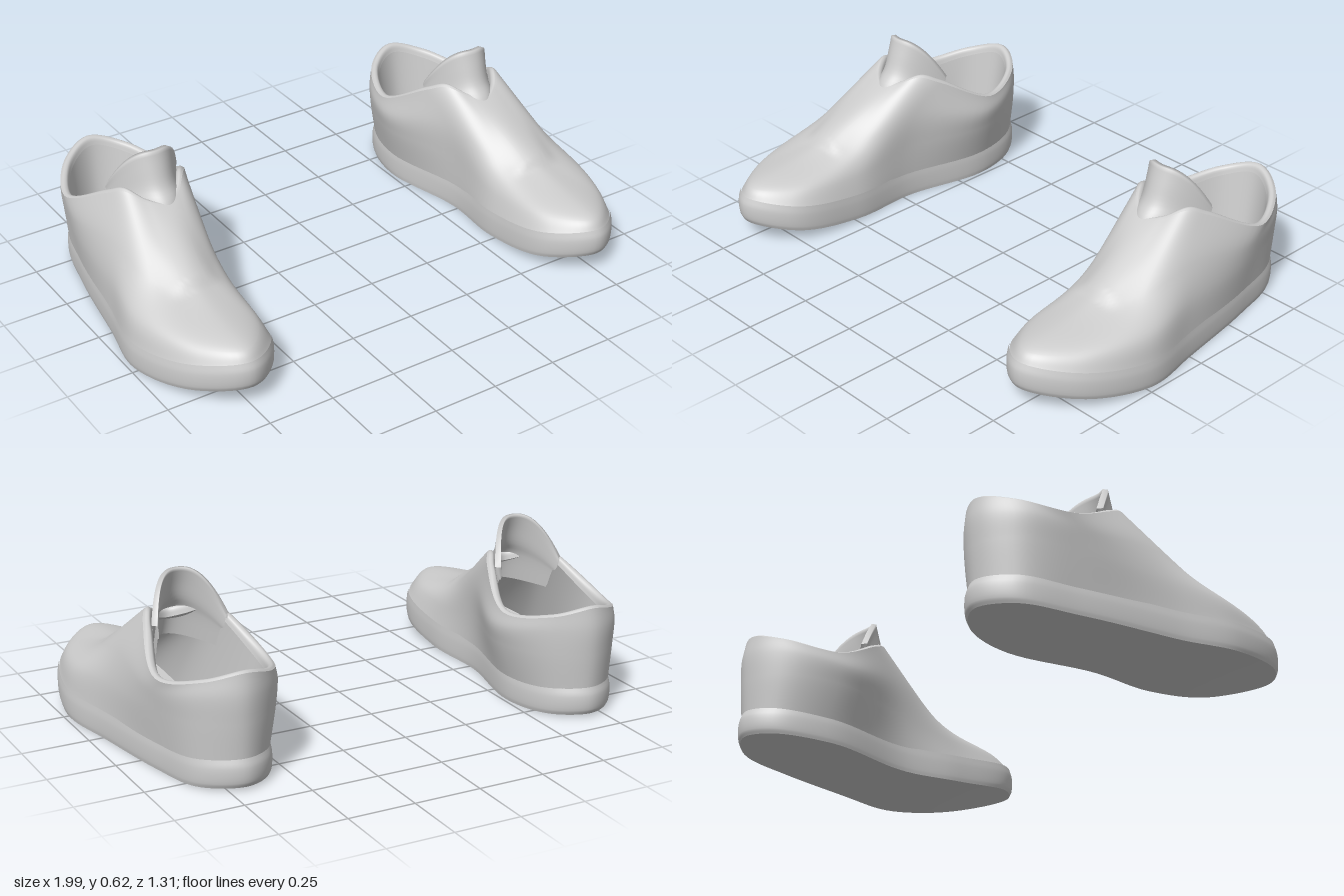
import * as THREE from 'three';

const SEG = 96; // points around each ring
const V = (x, y, z) => new THREE.Vector3(x, y, z);

// Underside height: toe spring at the front, slight lift at the heel
const bottom = z => 0.002 + 0.19 * Math.max(0, z) ** 2 + 0.2 * Math.max(0, -z - 0.4) ** 2;

// Control rings run toe, outer side, heel, inner side
const solePlan = [[.745, .645], [.905, .52], [.992, .25], [.95, 0], [.89, -.35], [.825, -.57],
  [.69, -.655], [.57, -.58], [.51, -.37], [.572, -.02], [.553, .25], [.592, .52]];
const wallRing = [[.745, .21, .6], [.885, .2, .47], [.965, .2, .23], [.935, .22, -.02], [.905, .23, -.35], [.83, .24, -.57],
  [.69, .24, -.655], [.55, .24, -.57], [.475, .23, -.35], [.565, .22, -.03], [.575, .19, .23], [.62, .2, .47]];
const vampRing = [[.745, .272, .29], [.80, .275, .26], [.88, .3, .15], [.90, .34, -.06], [.912, .3, -.35], [.835, .33, -.57],
  [.69, .34, -.657], [.545, .33, -.57], [.462, .3, -.35], [.55, .34, -.07], [.60, .3, .13], [.69, .275, .26]];
const rimRing = [[.70, .45, 0], [.76, .465, -.03], [.815, .495, -.10], [.85, .465, -.17], [.907, .355, -.40], [.815, .385, -.58],
  [.685, .418, -.645], [.56, .385, -.58], [.475, .357, -.38], [.535, .465, -.17], [.58, .495, -.10], [.64, .465, -.03]];

// Smooth closed ring through the control points
function ring(points) {
  const curve = new THREE.CatmullRomCurve3(points.map(p => V(...p)), true);
  return Array.from({ length: SEG }, (_, i) => curve.getPoint(i / SEG));
}

// Smooth rings between the given ones, column by column
function blend(rings, steps) {
  const columns = rings[0].map((_, j) => new THREE.CatmullRomCurve3(rings.map(r => r[j])));
  return Array.from({ length: steps + 1 }, (_, i) => columns.map(c => c.getPoint(i / steps)));
}

// Pull a ring towards the middle of the collar and shift it vertically
function pull(points, amount, dy) {
  return points.map(p => {
    const d = V(0.69 - p.x, 0, -0.32 - p.z).normalize();
    return p.clone().addScaledVector(d, amount).add(V(0, dy, 0));
  });
}

// Skin over rings; side = -1 mirrors it and turns the faces round
function skin(name, rings, side, closed = true, doubleSided = false) {
  const n = rings[0].length, pos = [], idx = [];
  rings.forEach(r => r.forEach(p => pos.push(side * p.x, p.y, p.z)));
  for (let i = 0; i < rings.length - 1; i++) {
    for (let j = 0; j < (closed ? n : n - 1); j++) {
      const k = (j + 1) % n;
      const a = i * n + j, b = i * n + k, c = b + n, d = a + n;
      if (side > 0) idx.push(a, b, c, a, c, d);
      else idx.push(a, c, b, a, d, c);
    }
  }
  const geo = new THREE.BufferGeometry();
  geo.setAttribute('position', new THREE.Float32BufferAttribute(pos, 3));
  geo.setIndex(idx);
  geo.computeVertexNormals();
  const mat = new THREE.MeshStandardMaterial({ color: 0xcccccc, side: doubleSided ? THREE.DoubleSide : THREE.FrontSide });
  const mesh = new THREE.Mesh(geo, mat);
  mesh.name = name;
  return mesh;
}

// Sole outline scaled about its middle, at a height above the underside
function soleRing(scale, height) {
  return ring(solePlan.map(([x, z]) => [x, 0, z])).map(p => {
    const x = 0.73 + (p.x - 0.73) * scale, z = p.z * scale;
    return V(x, bottom(z) + height, z);
  });
}

// Raised edge where the tongue area meets the toe
function raiseInstep(p) {
  const across = Math.exp(-(((p.x - 0.74) / 0.085) ** 4));
  const along = THREE.MathUtils.smoothstep(-p.z, -0.285, -0.25) * THREE.MathUtils.smoothstep(p.z, 0.02, 0.22);
  p.y += 0.016 * across * along;
  return p;
}

// Tongue: bowed shell with a rounded top, outside then inside
function tongueRows() {
  const profile = new THREE.CatmullRomCurve3([V(0, .34, .05), V(0, .45, .0), V(0, .5, -.04), V(0, .57, -.068), V(0, .625, -.088)]);
  const row = (v, inset) => Array.from({ length: 33 }, (_, i) => {
    const u = i / 16 - 1, c = profile.getPoint(v);
    const half = 0.13 + 0.015 * v - inset;
    const y = c.y - 0.155 * v * Math.abs(u) ** 3;
    return V(0.69 + half * u, y, c.z - inset - (0.2 - 0.08 * v) * u * u);
  });
  const rows = [];
  for (let i = 0; i <= 16; i++) rows.push(row(i / 16, 0));
  for (let i = 16; i >= 0; i--) rows.push(row(i / 16, 0.016));
  return rows;
}

function buildShoe(side) {
  const shoe = new THREE.Group();
  shoe.name = side > 0 ? 'leftShoe' : 'rightShoe';

  // Outsole underside and its rounded side band
  const edge = soleRing(0.985, 0);
  shoe.add(skin('outsole', [0, 0.3, 0.6, 0.85, 0.985].map(s => soleRing(s, 0)), side));
  const band = blend([edge, soleRing(1, 0.018), soleRing(1.003, 0.07), soleRing(0.985, 0.105)], 12);
  shoe.add(skin('soleBand', band, side));

  // Upper from the sole band to the collar
  const rim = ring(rimRing);
  const upper = blend([soleRing(0.985, 0.09), ring(wallRing), ring(vampRing), rim], 60);
  upper.forEach(r => r.forEach(raiseInstep));
  shoe.add(skin('upper', upper, side));

  // Padded collar rolling into the lining, down to the insole
  const collar = blend([rim, pull(rim, 0.012, 0.006), pull(rim, 0.026, 0), pull(rim, 0.034, -0.025)], 12);
  shoe.add(skin('collar', collar, side));
  const insoleEdge = soleRing(0.86, 0.07);
  shoe.add(skin('lining', blend([collar[12], insoleEdge], 12), side));
  shoe.add(skin('insole', [0.86, 0.6, 0.3, 0].map(s => soleRing(s, 0.07)), side));

  shoe.add(skin('tongue', tongueRows(), side, false, true));
  return shoe;
}

export function createModel() {
  const model = new THREE.Group();
  model.name = 'pairOfShoes';
  model.add(buildShoe(1), buildShoe(-1));
  return model;
}
